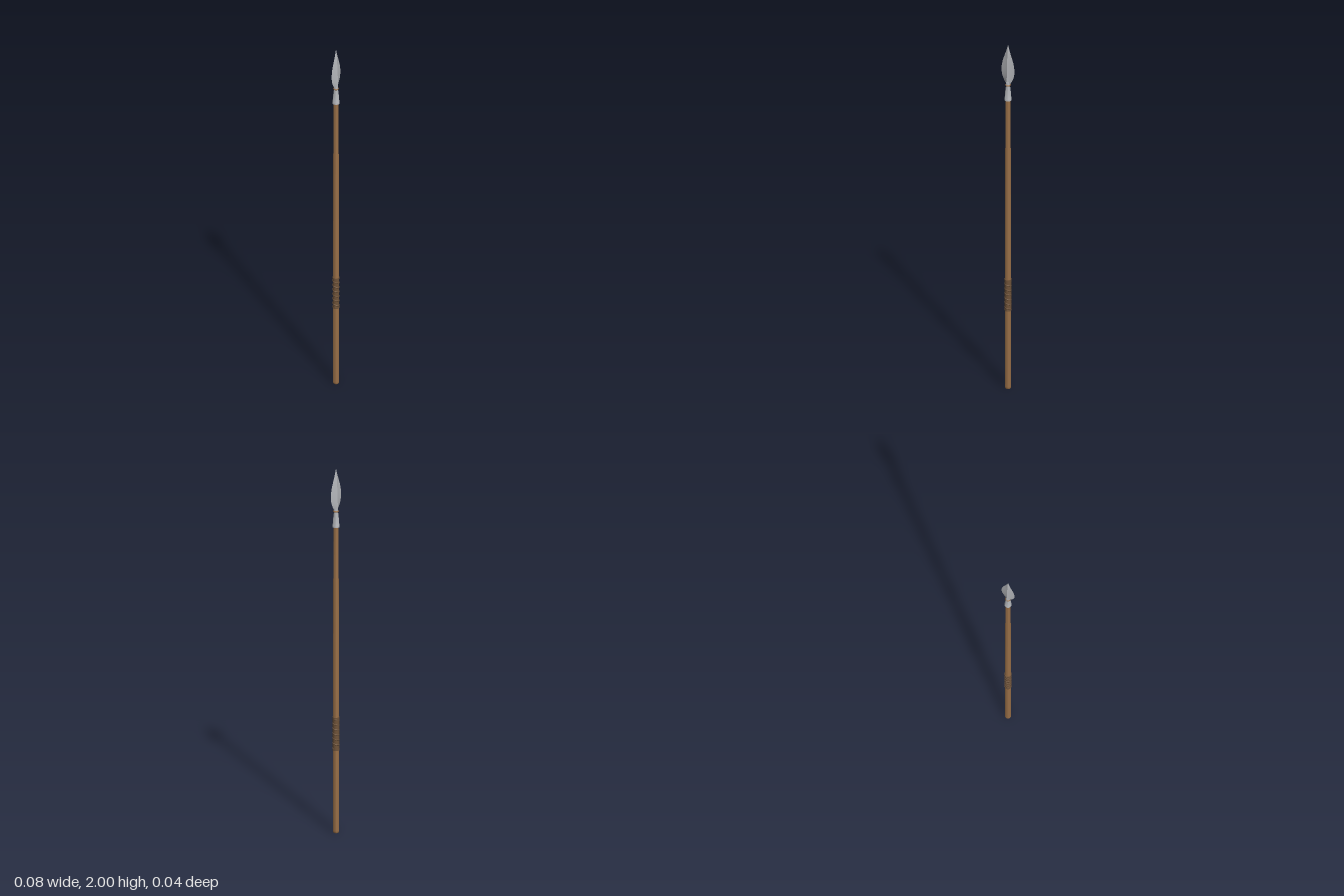
import * as THREE from 'three';
import { toCreasedNormals } from 'three/addons/utils/BufferGeometryUtils.js';

const mat = (color) => new THREE.MeshStandardMaterial({ color });
const wood = mat(0x9a7048);
const steel = mat(0xb4b6ba);
const leather = mat(0x6f5339);

function add(group, name, geometry, material, y = 0) {
  const mesh = new THREE.Mesh(geometry, material);
  mesh.name = name;
  mesh.position.y = y;
  group.add(mesh);
  return mesh;
}

// Turned part from [radius, height] pairs, with crisp edges at sharp corners
function turned(profile, sides = 24) {
  const points = profile.map(([r, y]) => new THREE.Vector2(r, y));
  return toCreasedNormals(new THREE.LatheGeometry(points, sides), 0.6);
}

// Leaf-shaped blade: hollow-ground diamond sections lofted along y
function bladeGeometry() {
  const outline = new THREE.SplineCurve([
    [0.007, 1.768], [0.019, 1.784], [0.033, 1.813], [0.0392, 1.85],
    [0.034, 1.893], [0.022, 1.932], [0.01, 1.966], [0.0005, 2],
  ].map(([w, y]) => new THREE.Vector2(w, y))).getPoints(28);
  const section = [[1, 0], [0.4, 0.48], [0, 1], [-0.4, 0.48], [-1, 0], [-0.4, -0.48], [0, -1], [0.4, -0.48]];
  const n = section.length;
  const positions = [];
  const index = [];
  outline.forEach(({ x: w, y }) => {
    const s = THREE.MathUtils.clamp((2 - y) / 0.232, 0, 1);
    const t = 0.0005 + 0.0135 * Math.pow(s, 0.6);
    section.forEach(([a, b]) => positions.push(a * w, y, b * t));
  });
  for (let i = 0; i < outline.length - 1; i++) {
    for (let j = 0; j < n; j++) {
      const a = i * n + j, b = i * n + (j + 1) % n;
      index.push(a, a + n, b, b, a + n, b + n);
    }
  }
  // Close both ends
  const top = (outline.length - 1) * n;
  for (let j = 1; j < n - 1; j++) {
    index.push(0, j, j + 1, top, top + j + 1, top + j);
  }
  const g = new THREE.BufferGeometry();
  g.setAttribute('position', new THREE.Float32BufferAttribute(positions, 3));
  g.setIndex(index);
  return toCreasedNormals(g, 0.35);
}

// Cord wound around the shaft
class Helix extends THREE.Curve {
  getPoint(t, target = new THREE.Vector3()) {
    const a = t * 6 * Math.PI * 2;
    return target.set(0.0145 * Math.cos(a), 0.464 + 0.162 * t, 0.0145 * Math.sin(a));
  }
}

export function createModel() {
  const spear = new THREE.Group();
  spear.name = 'spear';

  // Slightly tapered shaft with a rounded butt
  add(spear, 'shaft', turned([
    [0, 0], [0.013, 0], [0.0155, 0.004], [0.016, 0.012], [0.0155, 0.8], [0.0135, 1.7], [0, 1.7],
  ]), wood);

  // Spiral grip with a band at each end
  const grip = new THREE.Group();
  grip.name = 'grip';
  spear.add(grip);
  add(grip, 'gripCord', new THREE.TubeGeometry(new Helix(), 180, 0.0045, 8), leather);
  add(grip, 'gripCore', new THREE.CylinderGeometry(0.0168, 0.0168, 0.17, 24), leather, 0.545);
  for (const y of [0.458, 0.632]) {
    add(grip, 'gripBand', new THREE.CylinderGeometry(0.0183, 0.0183, 0.008, 24), leather, y);
  }

  // Metal socket, flared at its mouth
  add(spear, 'socket', turned([
    [0, 1.68], [0.0185, 1.68], [0.0185, 1.69], [0.0172, 1.694], [0.0145, 1.73], [0.0115, 1.756], [0.011, 1.785], [0, 1.79],
  ]), steel);

  // Binding ring between socket and blade
  const ring = add(spear, 'neckRing', new THREE.TorusGeometry(0.0105, 0.004, 8, 24), wood, 1.767);
  ring.rotation.x = Math.PI / 2;

  add(spear, 'blade', bladeGeometry(), steel);
  return spear;
}
